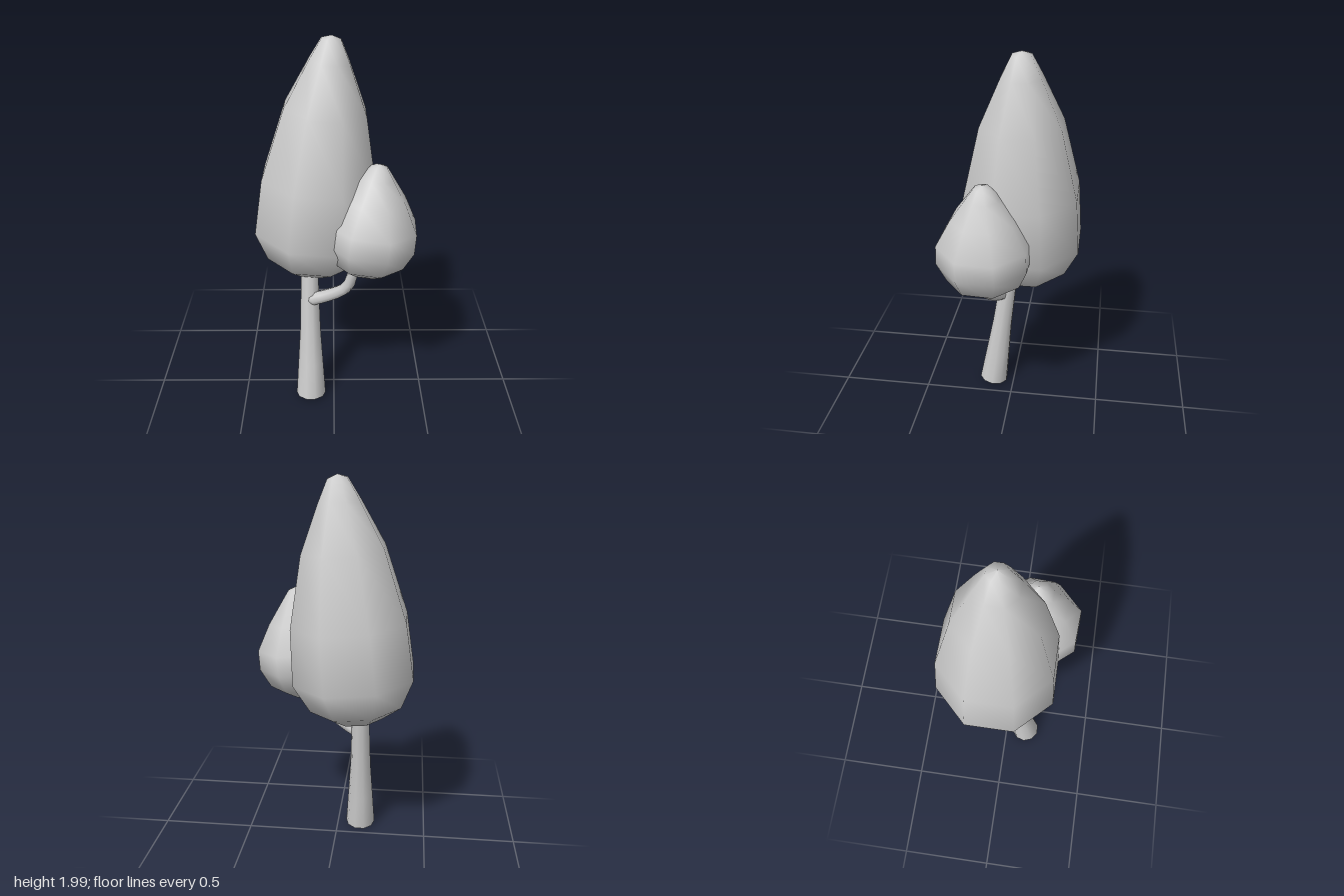
import * as THREE from 'three';

const material = new THREE.MeshStandardMaterial({ color: 0xcccccc });

function addMesh(parent, name, geometry) {
  const mesh = new THREE.Mesh(geometry, material);
  mesh.name = name;
  parent.add(mesh);
  return mesh;
}

// Eight-sided leaf crown: profile of [radius, height], leaning towards +x
function addCrown(parent, name, profile, base, lean, turn) {
  const points = profile.map(([r, y]) => new THREE.Vector2(r, y));
  const crown = addMesh(parent, name, new THREE.LatheGeometry(points, 8, turn));
  crown.position.set(...base);
  crown.rotation.z = -lean;
  return crown;
}

// Tube along a curve whose radius follows a list of values
function taperedTube(points, radii, segments, sides) {
  const curve = new THREE.CatmullRomCurve3(points.map((p) => new THREE.Vector3(...p)));
  const geometry = new THREE.TubeGeometry(curve, segments, 1, sides);
  const position = geometry.attributes.position;
  const v = new THREE.Vector3();
  for (let i = 0; i < position.count; i++) {
    const t = Math.floor(i / (sides + 1)) / segments;
    const f = t * (radii.length - 1);
    const k = Math.min(Math.floor(f), radii.length - 2);
    const r = THREE.MathUtils.lerp(radii[k], radii[k + 1], f - k);
    const c = curve.getPointAt(t);
    v.fromBufferAttribute(position, i).sub(c).multiplyScalar(r).add(c);
    position.setXYZ(i, v.x, v.y, v.z);
  }
  geometry.computeVertexNormals();
  // Match the normals across the tube seam
  const normal = geometry.attributes.normal;
  for (let j = 0; j <= segments; j++) {
    const a = j * (sides + 1), b = a + sides;
    v.fromBufferAttribute(normal, a);
    v.add(new THREE.Vector3().fromBufferAttribute(normal, b)).normalize();
    normal.setXYZ(a, v.x, v.y, v.z);
    normal.setXYZ(b, v.x, v.y, v.z);
  }
  return geometry;
}

export function createModel() {
  const tree = new THREE.Group();
  tree.name = 'tree';

  // Trunk, leaning back, with a closed foot
  const foot = new THREE.Vector3(-0.13, 0.012, 0.12);
  const trunkTop = new THREE.Vector3(-0.13, 0.82, 0.012);
  const middle = foot.clone().lerp(trunkTop, 0.5);
  addMesh(tree, 'trunk', taperedTube(
    [foot.toArray(), middle.toArray(), trunkTop.toArray()], [0.082, 0.056, 0.044], 4, 10));
  const cap = addMesh(tree, 'trunkFoot', new THREE.CircleGeometry(0.081, 10));
  cap.position.copy(foot);
  cap.lookAt(foot.clone().multiplyScalar(2).sub(trunkTop));

  // Curved side branch
  addMesh(tree, 'branch', taperedTube(
    [[-0.11, 0.61, 0.065], [-0.02, 0.655, 0.095], [0.07, 0.735, 0.145], [0.105, 0.86, 0.17]],
    [0.036, 0.034, 0.03, 0.026], 7, 8));
  const knot = addMesh(tree, 'branchJoint', new THREE.SphereGeometry(0.036, 8, 6));
  knot.position.set(-0.11, 0.61, 0.065);

  // Tall main crown
  addCrown(tree, 'mainCrown', [
    [0, 0], [0.14, 0.025], [0.255, 0.1], [0.332, 0.255], [0.313, 0.55],
    [0.22, 0.915], [0.108, 1.15], [0.052, 1.255], [0, 1.273],
  ], [-0.123, 0.727, -0.052], 0.09, Math.PI / 8);

  // Small crown on the branch
  addCrown(tree, 'smallCrown', [
    [0, 0], [0.11, 0.012], [0.205, 0.075], [0.251, 0.18], [0.246, 0.285],
    [0.168, 0.42], [0.085, 0.53], [0.043, 0.585], [0, 0.6],
  ], [0.16, 0.812, 0.106], 0.11, 0.33);

  return tree;
}
